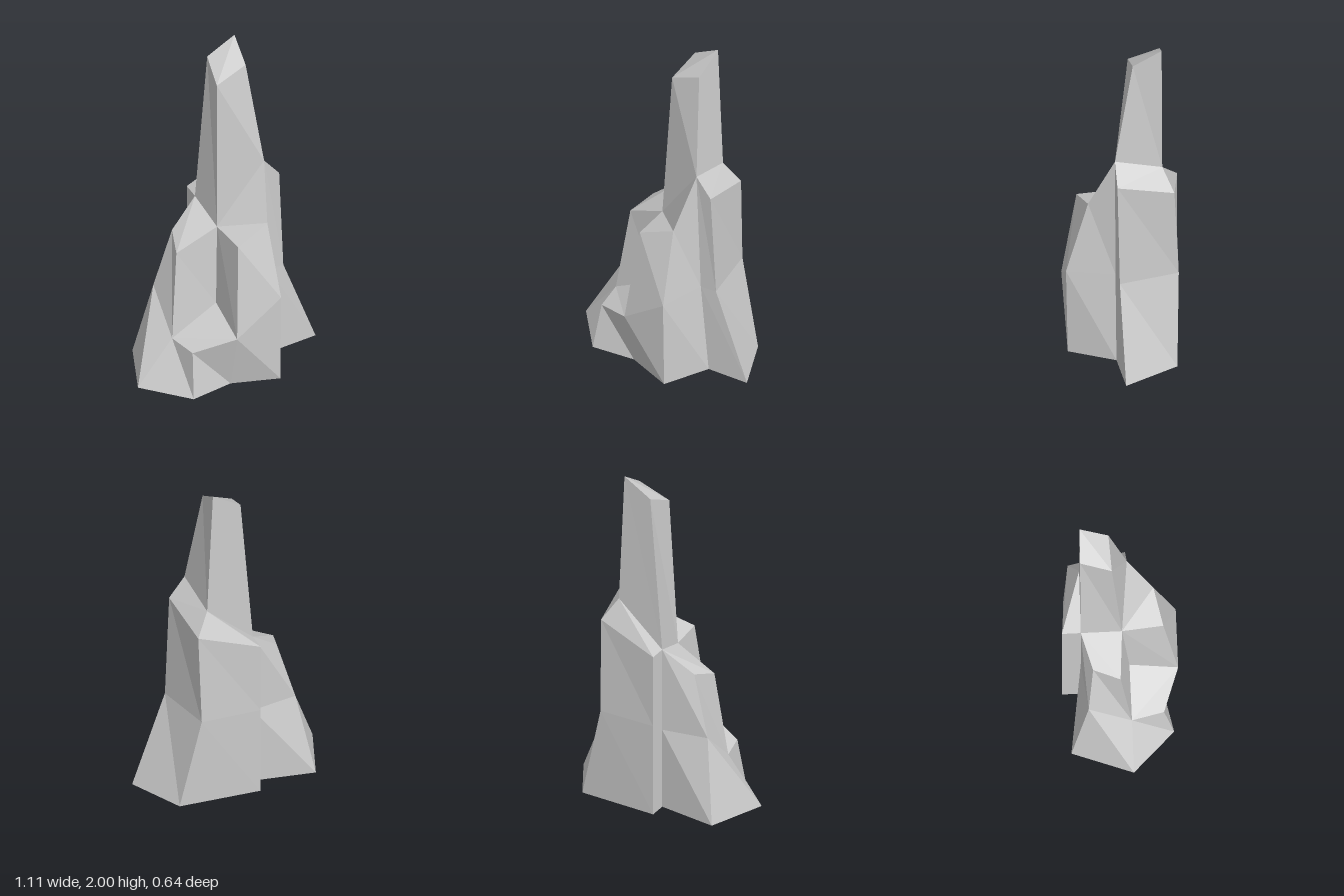
import * as THREE from 'three';

const material = new THREE.MeshStandardMaterial({ color: 0xcccccc, flatShading: true });

// Skins a stack of rings (bottom to top, counter-clockwise from above) and caps both ends.
function loft(name, rings) {
  const n = rings[0].length, last = (rings.length - 1) * n, index = [];
  for (let r = 0; r < rings.length - 1; r++) {
    for (let i = 0; i < n; i++) {
      const j = (i + 1) % n, a = r * n + i, b = r * n + j;
      index.push(a, b, a + n, b, b + n, a + n);
    }
  }
  for (let i = 1; i < n - 1; i++) {
    index.push(last, last + i, last + i + 1);
    index.push(0, i + 1, i);
  }
  const indexed = new THREE.BufferGeometry();
  indexed.setAttribute('position', new THREE.Float32BufferAttribute(rings.flat(2), 3));
  indexed.setIndex(index);
  const geometry = indexed.toNonIndexed();
  geometry.computeVertexNormals();
  const mesh = new THREE.Mesh(geometry, material);
  mesh.name = name;
  return mesh;
}

export function createModel() {
  const group = new THREE.Group();
  group.name = 'rockSpire';

  // Foot of the spire, shared with the masses around it
  const frontLeft = [-0.05, 0.91, 0.01], frontRight = [0.22, 1.3, 0.05];
  const backRight = [0.2, 1.23, -0.215], backLeft = [-0.075, 0.98, -0.22];

  // Tall tapering spire with a slanted tip
  group.add(loft('spire', [
    [frontLeft, frontRight, backRight, backLeft],
    [[-0.025, 1.82, -0.045], [0.157, 1.9, -0.055], [0.165, 2, -0.215], [0, 1.9, -0.22]],
  ]));

  // Front buttress with a sloping shoulder
  group.add(loft('frontButtress', [
    [[-0.075, 0, 0.05], [-0.075, 0, 0.235], [0.195, 0, 0.31], [0.305, 0, 0.05]],
    [[-0.075, 0.43, 0.05], [-0.075, 0.35, 0.32], [0.195, 0.55, 0.32], [0.25, 0.55, 0.05]],
    [frontLeft, [-0.03, 0.91, 0.24], [0.17, 0.985, 0.195], frontRight],
  ]));

  // Side and back buttress, filling the core under the spire
  group.add(loft('backButtress', [
    [[-0.075, 0, 0.05], [0.305, 0, 0.05], [0.55, 0, 0.02],
      [0.395, 0, -0.28], [-0.075, 0, -0.325], [-0.075, 0, -0.22]],
    [[-0.04, 0.55, -0.02], [0.25, 0.55, 0.05], [0.345, 0.55, 0.035],
      [0.27, 0.55, -0.3], [-0.075, 0.55, -0.325], [-0.075, 0.55, -0.22]],
    [backRight, frontRight, [0.315, 1.185, 0.045],
      [0.28, 1.105, -0.275], [-0.075, 0.98, -0.325], backLeft],
  ]));

  // Low flared base with a step at the front
  const ledgeOuter = [-0.345, 0.27, 0.05], ledgeInner = [-0.075, 0.43, 0.05];
  const waistInner = [-0.075, 0.48, -0.22], waistOuter = [-0.345, 0.48, -0.19];
  group.add(loft('lowerLedge', [
    [[-0.555, 0, 0.05], [-0.325, 0, 0.285], [-0.075, 0, 0.235],
      [-0.075, 0, 0.05], [-0.075, 0, -0.22], [-0.425, 0, -0.29]],
    [ledgeOuter, [-0.305, 0.27, 0.23], [-0.075, 0.35, 0.32], ledgeInner, waistInner, waistOuter],
  ]));

  // Upper block standing behind the step
  group.add(loft('upperLedge', [
    [ledgeOuter, ledgeInner, waistInner, waistOuter],
    [[-0.29, 0.79, -0.01], frontLeft, backLeft, [-0.245, 0.84, -0.16]],
  ]));

  return group;
}
